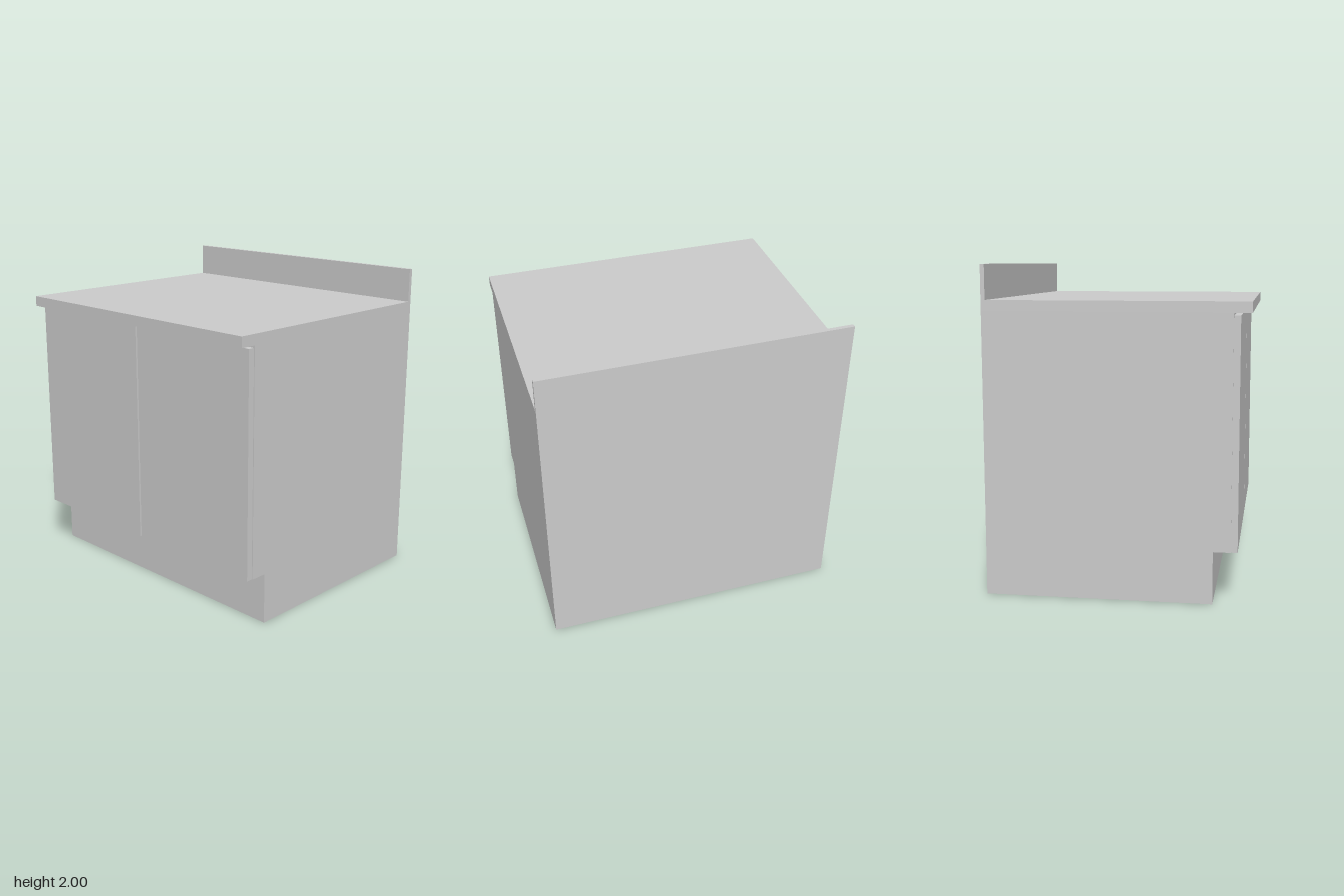
import * as THREE from 'three';

const WIDTH = 1.9;
const BACK = -0.795;

export function createModel() {
  const group = new THREE.Group();
  const material = new THREE.MeshStandardMaterial({ color: 0xcccccc });

  const add = (name, geometry) => {
    const mesh = new THREE.Mesh(geometry, material);
    mesh.name = name;
    group.add(mesh);
  };

  // Box given by its limits on each axis
  const addBox = (name, [x0, x1], [y0, y1], [z0, z1]) => {
    const geometry = new THREE.BoxGeometry(x1 - x0, y1 - y0, z1 - z0);
    geometry.translate((x0 + x1) / 2, (y0 + y1) / 2, (z0 + z1) / 2);
    add(name, geometry);
  };

  // Carcass with recessed toe kick: side profile (z, y) extruded across the width
  const profile = new THREE.Shape(
    [[BACK, 0], [0.585, 0], [0.585, 0.32], [0.69, 0.32], [0.69, 1.725], [BACK, 1.725]]
      .map(([z, y]) => new THREE.Vector2(z, y))
  );
  const carcass = new THREE.ExtrudeGeometry(profile, { depth: WIDTH, bevelEnabled: false });
  carcass.rotateY(-Math.PI / 2);
  carcass.translate(WIDTH / 2, 0, 0);
  // The rotation maps the profile's z axis onto +z and the depth onto -x
  add('carcass', carcass);

  // Pair of doors with a narrow gap between them
  addBox('rightDoor', [-0.944, -0.007], [0.32, 1.71], [0.69, 0.73]);
  addBox('leftDoor', [0.007, 0.944], [0.32, 1.71], [0.69, 0.73]);

  // Worktop overhanging the doors, and the upstand along its back
  addBox('worktop', [-WIDTH / 2, WIDTH / 2], [1.725, 1.79], [BACK, 0.795]);
  addBox('backsplash', [-WIDTH / 2, WIDTH / 2], [1.79, 2], [BACK, -0.77]);

  return group;
}
